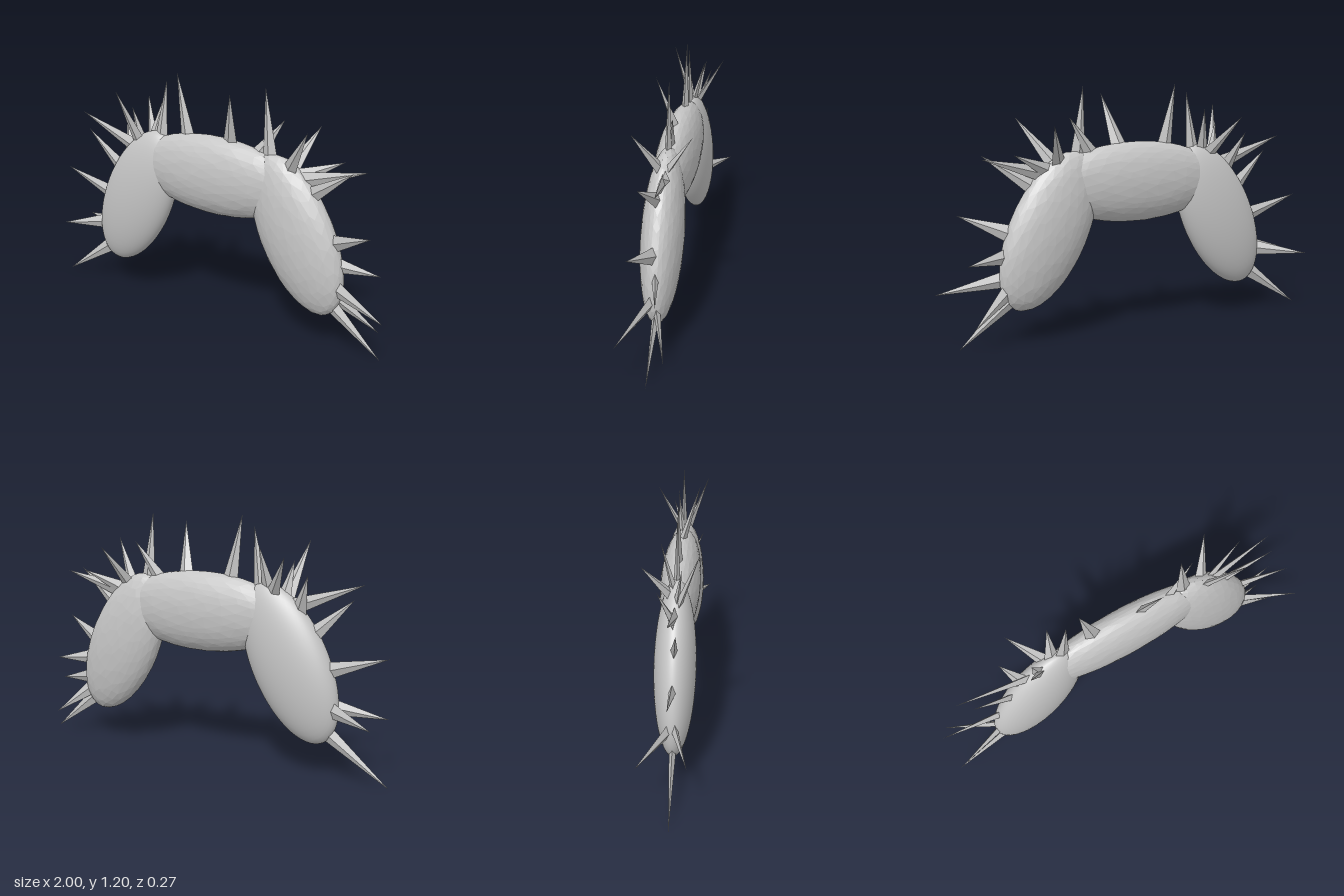
import * as THREE from 'three';

const grey = new THREE.MeshStandardMaterial({ color: 0xc6c6c6 });
grey.name = 'grey';

const MID_Z = 0.01;

// Repeatable offset in -0.5..0.5 for a point, so shared corners move together
function wobble(x, y, z, seed) {
  const s = Math.sin(Math.round(x * 1e4) * 0.129 + Math.round(y * 1e4) * 0.782 + Math.round(z * 1e4) * 0.377 + seed) * 4375.85;
  return s - Math.floor(s) - 0.5;
}

// Unit ball with slightly uneven facets
function facetedBall() {
  const geo = new THREE.IcosahedronGeometry(1, 5);
  const pos = geo.attributes.position;
  const v = new THREE.Vector3();
  for (let i = 0; i < pos.count; i++) {
    v.fromBufferAttribute(pos, i);
    const { x, y, z } = v;
    v.x += wobble(x, y, z, 1) * 0.09;
    v.y += wobble(x, y, z, 2) * 0.09;
    v.z += wobble(x, y, z, 3) * 0.09;
    v.normalize();
    pos.setXYZ(i, v.x, v.y, v.z);
  }
  return geo;
}

// Flattened ellipsoid body lobe, smooth or faceted
function lobe(name, x, y, rx, ry, angle, smooth) {
  const geo = smooth ? new THREE.SphereGeometry(1, 48, 32) : facetedBall();
  geo.scale(rx, ry, 0.096);
  if (!smooth) geo.computeVertexNormals(); // unshared corners give flat facets
  const mesh = new THREE.Mesh(geo, grey);
  mesh.name = name;
  mesh.position.set(x, y, MID_Z);
  mesh.rotation.z = angle;
  return mesh;
}

// Thin four-sided spike, broad across the front and rooted inside the body
function spike([bx, by, tx, ty, tz], i) {
  const tip = new THREE.Vector3(tx, ty, tz);
  const base = new THREE.Vector3(bx, by, MID_Z + (tz - MID_Z) * 0.12);
  const along = tip.clone().sub(base).normalize();
  base.addScaledVector(along, -0.025);
  const across = new THREE.Vector3().crossVectors(along, new THREE.Vector3(0, 0, 1)).normalize();
  const through = new THREE.Vector3().crossVectors(across, along);
  const length = tip.distanceTo(base);
  const geo = new THREE.ConeGeometry(0.042, length, 4, 1).toNonIndexed();
  geo.scale(1, 1, 0.42);
  geo.translate(0, length / 2, 0);
  geo.computeVertexNormals();
  const mesh = new THREE.Mesh(geo, grey);
  mesh.name = 'spike' + (i + 1);
  mesh.position.copy(base);
  mesh.quaternion.setFromRotationMatrix(new THREE.Matrix4().makeBasis(across, along, through));
  return mesh;
}

// Each spike: base x, base y, tip x, tip y, tip z
const rightSpikes = [
  [-0.68, 0.22, -1.0, 0.0, 0.01],
  [-0.715, 0.34, -0.96, 0.3, 0.085],
  [-0.715, 0.33, -0.965, 0.295, -0.135],
  [-0.69, 0.51, -0.985, 0.595, 0.005],
  [-0.61, 0.67, -0.8, 0.84, 0.03],
  [-0.51, 0.79, -0.865, 0.915, 0.0],
  [-0.54, 0.78, -0.61, 0.945, -0.06],
  [-0.46, 0.82, -0.53, 1.09, 0.12],
  [-0.4, 0.83, -0.53, 1.03, -0.135],
  [-0.45, 0.82, -0.49, 1.0, 0.04],
];
const topSpikes = [
  [-0.38, 0.85, -0.355, 1.07, -0.06],
  [-0.33, 0.85, -0.29, 1.155, 0.01],
  [-0.165, 0.91, -0.225, 1.2, 0.01],
  [0.1, 0.92, 0.15, 1.155, 0.095],
  [0.32, 0.87, 0.29, 1.195, 0.01],
  [0.25, 0.87, 0.38, 1.05, -0.02],
];
const leftSpikes = [
  [0.43, 0.82, 0.59, 1.05, 0.125],
  [0.43, 0.83, 0.51, 1.02, -0.13],
  [0.47, 0.8, 0.68, 0.89, -0.06],
  [0.55, 0.73, 0.79, 0.885, 0.06],
  [0.5, 0.79, 0.82, 0.875, -0.02],
  [0.69, 0.53, 0.9, 0.615, 0.09],
  [0.7, 0.42, 0.9, 0.4, -0.03],
  [0.71, 0.31, 1.0, 0.25, 0.13],
  [0.67, 0.22, 0.935, 0.01, 0.01],
  [0.69, 0.26, 0.885, 0.11, -0.06],
];

export function createModel() {
  const group = new THREE.Group();
  group.name = 'spikyArch';

  // Body: centre lobe with a drooping lobe at each end
  const tilt = Math.atan2(0.89, 0.45);
  group.add(
    lobe('middleLobe', 0, 0.725, 0.48, 0.196, 0, false),
    lobe('leftLobe', 0.475, 0.522, 0.4, 0.2, -tilt, false),
    lobe('rightLobe', -0.487, 0.522, 0.4, 0.2, tilt, true),
  );

  // Spikes along the outer edge
  const spikes = new THREE.Group();
  spikes.name = 'spikes';
  [...rightSpikes, ...topSpikes, ...leftSpikes].forEach((s, i) => spikes.add(spike(s, i)));
  group.add(spikes);
  return group;
}
